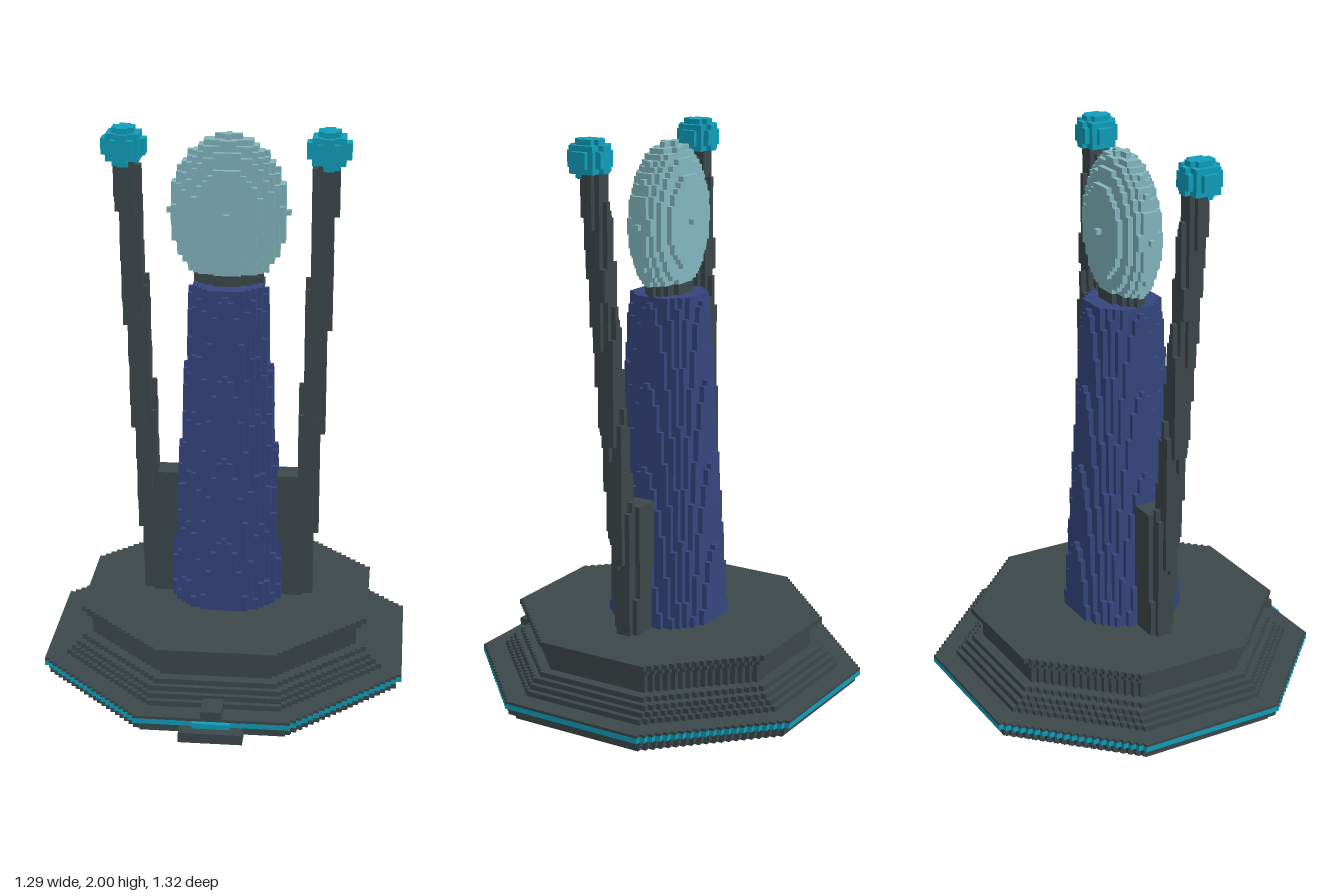
import * as THREE from 'three';

const S = 2 / 107; // block size
const ZC = -S; // centre of the octagonal base along z

const mat = (name, color) => {
  const m = new THREE.MeshStandardMaterial({ color });
  m.name = name;
  return m;
};

// Six block sides: normal and four corners wound to face outwards
const SIDES = [];
for (let a = 0; a < 3; a++) {
  for (const d of [1, -1]) {
    const n = [0, 0, 0];
    n[a] = d;
    const uv = [[-1, -1], [1, -1], [1, 1], [-1, 1]];
    const corners = (d > 0 ? uv : uv.reverse()).map(([u, v]) => {
      const c = [0, 0, 0];
      c[a] = d;
      c[(a + 1) % 3] = u;
      c[(a + 2) % 3] = v;
      return c;
    });
    SIDES.push({ n, corners });
  }
}

// Surface of all grid blocks whose centres satisfy inside(x, y, z)
function blocks(min, max, inside) {
  const pos = [], nor = [], idx = [];
  const i0 = min.map((v) => Math.floor(v / S) - 1);
  const i1 = max.map((v) => Math.ceil(v / S) + 1);
  const full = (i, j, k) => inside(i * S, (j + 0.5) * S, k * S);
  for (let i = i0[0]; i <= i1[0]; i++)
    for (let j = i0[1]; j <= i1[1]; j++)
      for (let k = i0[2]; k <= i1[2]; k++) {
        if (!full(i, j, k)) continue;
        for (const { n, corners } of SIDES) {
          if (full(i + n[0], j + n[1], k + n[2])) continue;
          const b = pos.length / 3;
          for (const c of corners) {
            pos.push((i + c[0] / 2) * S, (j + 0.5 + c[1] / 2) * S, (k + c[2] / 2) * S);
            nor.push(...n);
          }
          idx.push(b, b + 1, b + 2, b, b + 2, b + 3);
        }
      }
  const g = new THREE.BufferGeometry();
  g.setAttribute('position', new THREE.Float32BufferAttribute(pos, 3));
  g.setAttribute('normal', new THREE.Float32BufferAttribute(nor, 3));
  g.setIndex(idx);
  return g;
}

// Octagonal slab with block-stepped diagonal edges
function octagonSlab(half, y0, y1) {
  const n = Math.round(half / S - 0.5);
  const side = [];
  for (let k = -n; k <= n; k++) {
    const w = (Math.min(n, Math.round(n * Math.SQRT2 - Math.abs(k))) + 0.5) * S;
    side.push([w, (k - 0.5) * S], [w, (k + 0.5) * S]);
  }
  const mirrored = side.map(([x, y]) => [-x, y]).reverse();
  const shape = new THREE.Shape([...side, ...mirrored].map(([x, y]) => new THREE.Vector2(x, y)));
  const g = new THREE.ExtrudeGeometry(shape, { depth: y1 - y0, bevelEnabled: false });
  return g.rotateX(-Math.PI / 2).translate(0, y0, ZC);
}

function boxAt(x0, x1, y0, y1, z0, z1) {
  return new THREE.BoxGeometry(x1 - x0, y1 - y0, z1 - z0)
    .translate((x0 + x1) / 2, (y0 + y1) / 2, (z0 + z1) / 2);
}

export function createModel() {
  const model = new THREE.Group();
  model.name = 'tower';
  const dark = mat('dark stone', 0x3c484b);
  const teal = mat('teal glow', 0x0f9fbb);
  const blue = mat('blue cladding', 0x35467e);
  const pale = mat('pale crystal', 0x82b6be);
  const add = (name, geometry, material) => {
    const m = new THREE.Mesh(geometry, material);
    m.name = name;
    model.add(m);
  };

  // Base: half width, bottom, top of each slab
  const slabs = [
    [0.61, 0, S], [0.63, S, 0.046], [0.645, 0.065, 4 * S],
    [0.57, 4 * S, 5 * S], [0.552, 5 * S, 6 * S], [0.533, 6 * S, 7 * S],
    [0.515, 7 * S, 8 * S], [0.477, 8 * S, 12 * S], [0.496, 12 * S, 13 * S],
    [0.515, 13 * S, 14 * S],
  ];
  slabs.forEach(([h, y0, y1]) => add('baseSlab', octagonSlab(h, y0, y1), dark));
  add('baseLightBand', octagonSlab(0.645, 0.046, 0.065), teal);

  // Front step, its ridge and its light
  add('frontStep', boxAt(-0.11, 0.11, 0, 0.036, 0.5, 0.66), dark);
  add('frontRidge', boxAt(-0.036, 0.036, 4 * S, 0.102, 0.48, 0.627), dark);
  add('frontLight', boxAt(-0.065, 0.065, 0.046, 0.065, 0.6, 0.643), teal);

  // Tapered central shaft
  const shaftRadius = (y) => THREE.MathUtils.mapLinear(y, 0.26, 1.44, 0.205, 0.13);
  add('shaft', blocks([-0.22, 0.26, -0.24], [0.22, 1.44, 0.22], (x, y, z) =>
    y > 14 * S && y < 77 * S && Math.hypot(x, z - ZC) < shaftRadius(y)), blue);

  // Collar and crystal disc on top of the shaft
  add('collar', blocks([-0.14, 1.42, -0.1], [0.14, 1.5, 0.1], (x, y, z) =>
    y > 77 * S && y < 79 * S && Math.hypot(x / 6.3, (z - ZC) / 3.2) < S), dark);
  add('crystalDisc', blocks([-0.24, 1.44, -0.14], [0.24, 2, 0.12], (x, y, z) =>
    y > 79 * S && Math.hypot(x / 11.01, (y - 90.5 * S) / 14.3, (z - ZC) / 5.01) < S), pale);

  // Leaning side rods with fins and glowing tips
  for (const s of [-1, 1]) {
    const rodX = (y) => s * THREE.MathUtils.mapLinear(y, 0.26, 1.85, 0.265, 0.339);
    const rodZ = (y) => THREE.MathUtils.mapLinear(y, 0.26, 1.85, -0.022, 0.064);
    add('sideRod', blocks([-0.42, 0.26, -0.1], [0.42, 1.88, 0.14], (x, y, z) =>
      y > 14 * S && y < 101 * S && Math.hypot(x - rodX(y), z - rodZ(y)) < 0.042), dark);
    add('sideFin', blocks([-0.3, 0.26, -0.1], [0.3, 0.74, 0.08], (x, y, z) =>
      y > 14 * S && y < 38.7 * S && s * x > 0.13 && s * x < 0.27 &&
      Math.abs(z - ZC) < 0.04), dark);
    add('glowTip', blocks([-0.44, 1.84, -0.02], [0.44, 2, 0.16], (x, y, z) =>
      Math.hypot(x - s * 18.5 * S, y - 103.5 * S, z - 4 * S) < 3.85 * S), teal);
  }
  return model;
}
